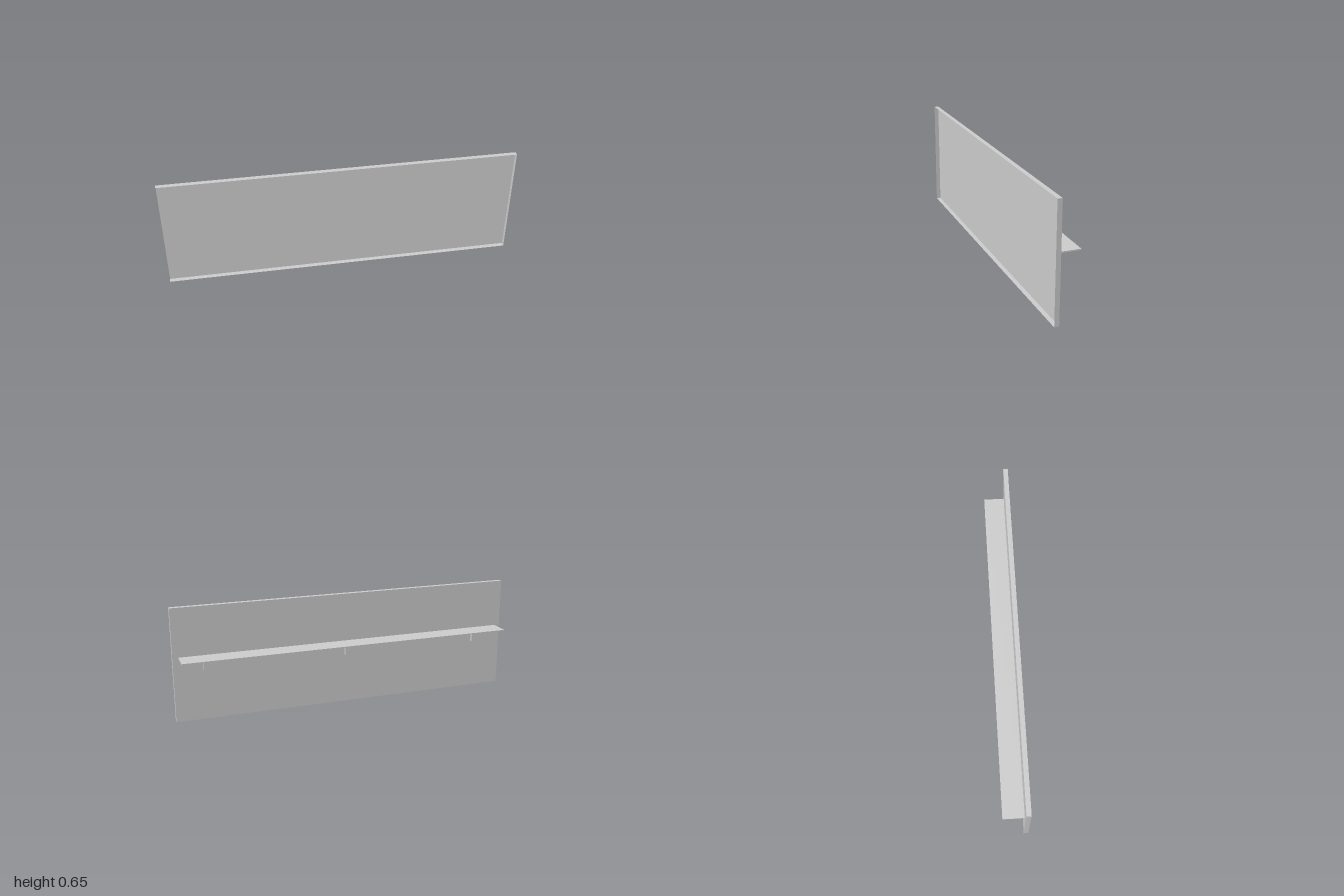
import * as THREE from 'three';

const W = 2, H = 0.648, FRONT = 0.073, BACK = 0.047;

export function createModel() {
  const model = new THREE.Group();
  const solid = new THREE.MeshStandardMaterial({ color: 0xcccccc, flatShading: true });
  const thin = new THREE.MeshStandardMaterial({ color: 0xcccccc, flatShading: true, side: THREE.DoubleSide });

  const add = (parent, name, geometry, material, x, y, z) => {
    const mesh = new THREE.Mesh(geometry, material);
    mesh.name = name;
    mesh.position.set(x, y, z);
    parent.add(mesh);
    return mesh;
  };

  // Wall panel: a shallow shell, open at the front
  const panel = new THREE.Group();
  panel.name = 'wallPanel';
  model.add(panel);
  const depth = FRONT - BACK, midZ = (FRONT + BACK) / 2;
  add(panel, 'panelFace', new THREE.PlaneGeometry(W, H).rotateY(Math.PI), thin, 0, H / 2, BACK);
  for (const s of [-1, 1]) {
    add(panel, s > 0 ? 'leftEdge' : 'rightEdge',
      new THREE.PlaneGeometry(depth, H).rotateY(s * Math.PI / 2), thin, s * W / 2, H / 2, midZ);
    add(panel, s > 0 ? 'topEdge' : 'bottomEdge',
      new THREE.PlaneGeometry(W, depth).rotateX(-s * Math.PI / 2), thin, 0, s > 0 ? H : 0, midZ);
  }

  // Shelf board
  add(model, 'shelf', new THREE.BoxGeometry(1.934, 0.007, 0.119), solid, 0, 0.3675, -0.0125);

  // Three L-shaped brackets, profile drawn as (distance from panel, height)
  const profile = new THREE.Shape([
    [0, 0.287], [0.018, 0.287], [0.018, 0.346], [0.065, 0.346], [0.065, 0.364], [0, 0.364],
  ].map(([d, y]) => new THREE.Vector2(d, y)));
  const width = 0.03;
  const bracket = new THREE.ExtrudeGeometry(profile, { depth: width, bevelEnabled: false })
    .translate(0, 0, -width / 2)
    .rotateY(Math.PI / 2);
  ['rightBracket', 'middleBracket', 'leftBracket'].forEach((name, i) =>
    add(model, name, bracket, solid, (i - 1) * 0.82, 0, BACK));

  return model;
}
